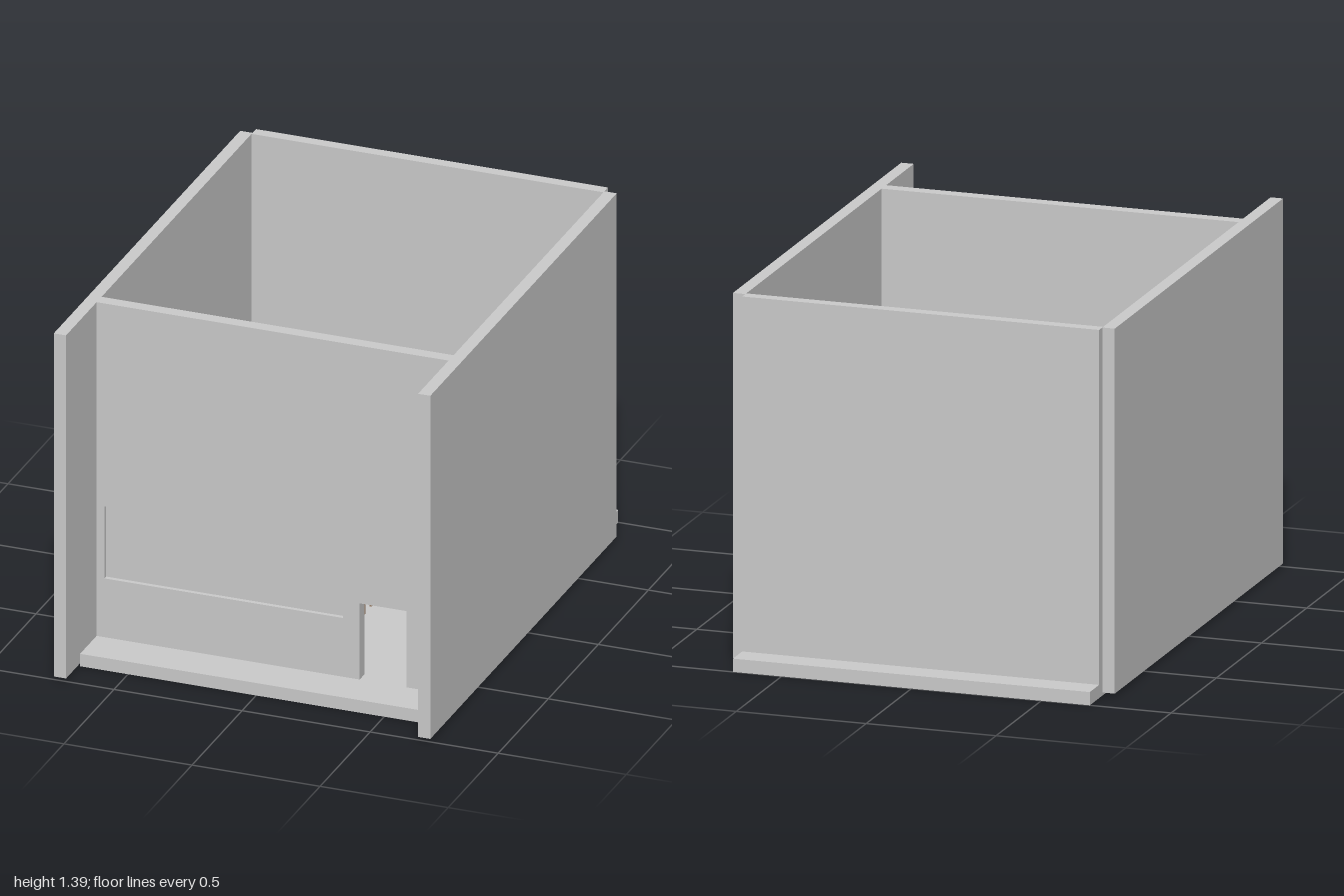
import * as THREE from 'three';

const grey = new THREE.MeshStandardMaterial({ color: 0xcccccc });
const wood = new THREE.MeshStandardMaterial({ color: 0x9c8068 });
const green = new THREE.MeshStandardMaterial({ color: 0x78a592 });
const dark = new THREE.MeshStandardMaterial({ color: 0x555555 });
const H = 0.687; // half width of the room
const FLOOR = 0.05;
const UNDER = 0.028; // underside of the floor inside the rim
const BACK = -0.852, FRONT = 0.645; // ends of the floor

function add(parent, name, geometry, material = grey) {
  const mesh = new THREE.Mesh(geometry, material);
  mesh.name = name;
  parent.add(mesh);
  return mesh;
}

// Box given by its minimum and maximum on each axis
function box(parent, name, [x0, x1], [y0, y1], [z0, z1], material) {
  const mesh = add(parent, name, new THREE.BoxGeometry(x1 - x0, y1 - y0, z1 - z0), material);
  mesh.position.set((x0 + x1) / 2, (y0 + y1) / 2, (z0 + z1) / 2);
  return mesh;
}

// Plan outline of [x, z] points raised from y0 to y1, with rectangular holes
function slab(parent, name, points, y0, y1, holes = []) {
  const shape = new THREE.Shape(points.map(([x, z]) => new THREE.Vector2(x, -z)));
  shape.holes.push(...holes);
  const geometry = new THREE.ExtrudeGeometry(shape, { depth: y1 - y0, bevelEnabled: false });
  geometry.rotateX(-Math.PI / 2).translate(0, y0, 0);
  return add(parent, name, geometry);
}

function rectPath(x0, x1, y0, y1) {
  return new THREE.Path([[x0, y0], [x0, y1], [x1, y1], [x1, y0]].map(p => new THREE.Vector2(...p)));
}

// Chair whose back stands on the side given by dir along z; legs pass through the floor
function chair(parent, x, z, dir) {
  const g = new THREE.Group();
  g.name = 'chair';
  box(g, 'chairSeat', [-0.035, 0.035], [0.062, 0.07], [-0.035, 0.035], wood);
  box(g, 'chairBack', [-0.035, 0.035], [0.07, 0.135], [0.027, 0.035], wood);
  for (const lx of [-0.03, 0.03]) for (const lz of [-0.03, 0.03])
    box(g, 'chairLeg', [lx - 0.004, lx + 0.004], [-0.027, 0.062], [lz - 0.004, lz + 0.004], wood);
  g.position.set(x, FLOOR, z);
  if (dir < 0) g.rotation.y = Math.PI;
  parent.add(g);
}

export function createModel() {
  const model = new THREE.Group();
  model.name = 'diningRoom';

  // Base rim: a plate with wall slots and a wide opening under the floor
  slab(model, 'baseRim', [[-H, 0.86], [H, 0.86], [H, -1], [-H, -1]], 0, UNDER, [
    rectPath(-0.662, 0.662, -0.695, -FRONT),
    rectPath(-0.662, 0.662, -0.62, 0.828),
    rectPath(-0.662, 0.662, -BACK, 0.897),
  ]);
  box(model, 'frontLedge', [-H, H], [UNDER, FLOOR], [0.695, 0.86]);
  box(model, 'backLedge', [-H, H], [UNDER, FLOOR], [-1, -0.897]);

  // Floor in two pieces, parted by the bar counter
  const outer = [[H, -0.45], [-0.17, -0.45], [-0.235, -0.465], [-0.29, -0.525], [-0.308, -0.6], [-0.308, BACK]];
  const inner = [[-0.2, BACK], [-0.2, -0.59], [-0.19, -0.565], [-0.165, -0.553], [H, -0.553]];
  slab(model, 'floor', [[-H, FRONT], [H, FRONT], ...outer, [-H, BACK]], UNDER, FLOOR);
  slab(model, 'barFloor', [...inner, [H, BACK]], UNDER, FLOOR);
  slab(model, 'barCounter', [...outer, ...inner], 0.045, 0.176);
  slab(model, 'barCounterTop', [...outer, ...inner], 0.176, 0.183);

  // Walls
  for (const s of [-1, 1]) {
    const edges = [s * H, s * 0.735].sort((a, b) => a - b);
    box(model, s > 0 ? 'leftWall' : 'rightWall', edges, [0.012, 1.39], [-0.862, 1]);
  }
  box(model, 'backWall', [-H, H], [UNDER, 1.39], [-0.897, BACK]);
  const front = new THREE.Shape([[-H, UNDER], [H, UNDER], [H, 1.39], [-H, 1.39]].map(p => new THREE.Vector2(...p)));
  front.holes.push(rectPath(-0.657, 0.275, 0.286, 0.575), rectPath(0.34, 0.523, FLOOR, 0.356));
  add(model, 'frontWall', new THREE.ExtrudeGeometry(front, { depth: 0.05, bevelEnabled: false })).position.z = FRONT;
  box(model, 'windowPane', [-0.657, 0.275], [0.286, 0.575], [0.662, 0.678]);

  // Shelf units standing on the bar counter
  for (const x of [-0.165, 0.39]) {
    const unit = new THREE.Group();
    unit.name = 'counterShelf';
    const span = [x, x + 0.29];
    box(unit, 'shelfBase', span, [0.183, 0.208], [-0.55, -0.487], wood);
    box(unit, 'shelfTray', span, [0.183, 0.188], [-0.487, -0.46], dark);
    box(unit, 'shelfPanel', span, [0.208, 0.276], [-0.54, -0.53]);
    box(unit, 'shelfTop', span, [0.276, 0.286], [-0.55, -0.487], wood);
    model.add(unit);
  }

  // Wall tables, each with four chairs
  for (const z of [-0.72, -0.478, -0.235, 0.005, 0.25]) {
    box(model, 'wallTableTop', [-H, -0.462], [0.15, 0.162], [z - 0.055, z + 0.055]);
    box(model, 'wallTableLeg', [-0.59, -0.56], [FLOOR, 0.15], [z - 0.015, z + 0.015]);
    for (const x of [-0.62, -0.522]) for (const s of [-1, 1]) chair(model, x, z + s * 0.066, s);
  }

  // Round tables with facing chairs
  for (const x of [-0.184, 0.12]) for (const z of [-0.173, 0.129, 0.442]) {
    add(model, 'roundTableTop', new THREE.CylinderGeometry(0.068, 0.068, 0.012, 32), green).position.set(x, 0.156, z);
    add(model, 'roundTableLeg', new THREE.CylinderGeometry(0.01, 0.01, 0.1, 12), green).position.set(x, 0.1, z);
    chair(model, x, z - 0.065, -1);
    if (x > 0 || z < 0.4) chair(model, x, z + 0.065, 1);
  }

  // Side counter with a row of stools
  box(model, 'sideCounter', [0.58, H], [0.17, 0.185], [-0.31, 0.6]);
  for (const z of [-0.217, -0.082, 0.048, 0.178, 0.298, 0.418, 0.533]) {
    const seat = add(model, 'stoolSeat', new THREE.SphereGeometry(0.03, 20, 12));
    seat.scale.y = 0.4;
    seat.position.set(0.549, 0.16, z);
    add(model, 'stoolPost', new THREE.CylinderGeometry(0.007, 0.007, 0.11, 10)).position.set(0.549, 0.105, z);
  }
  return model;
}
